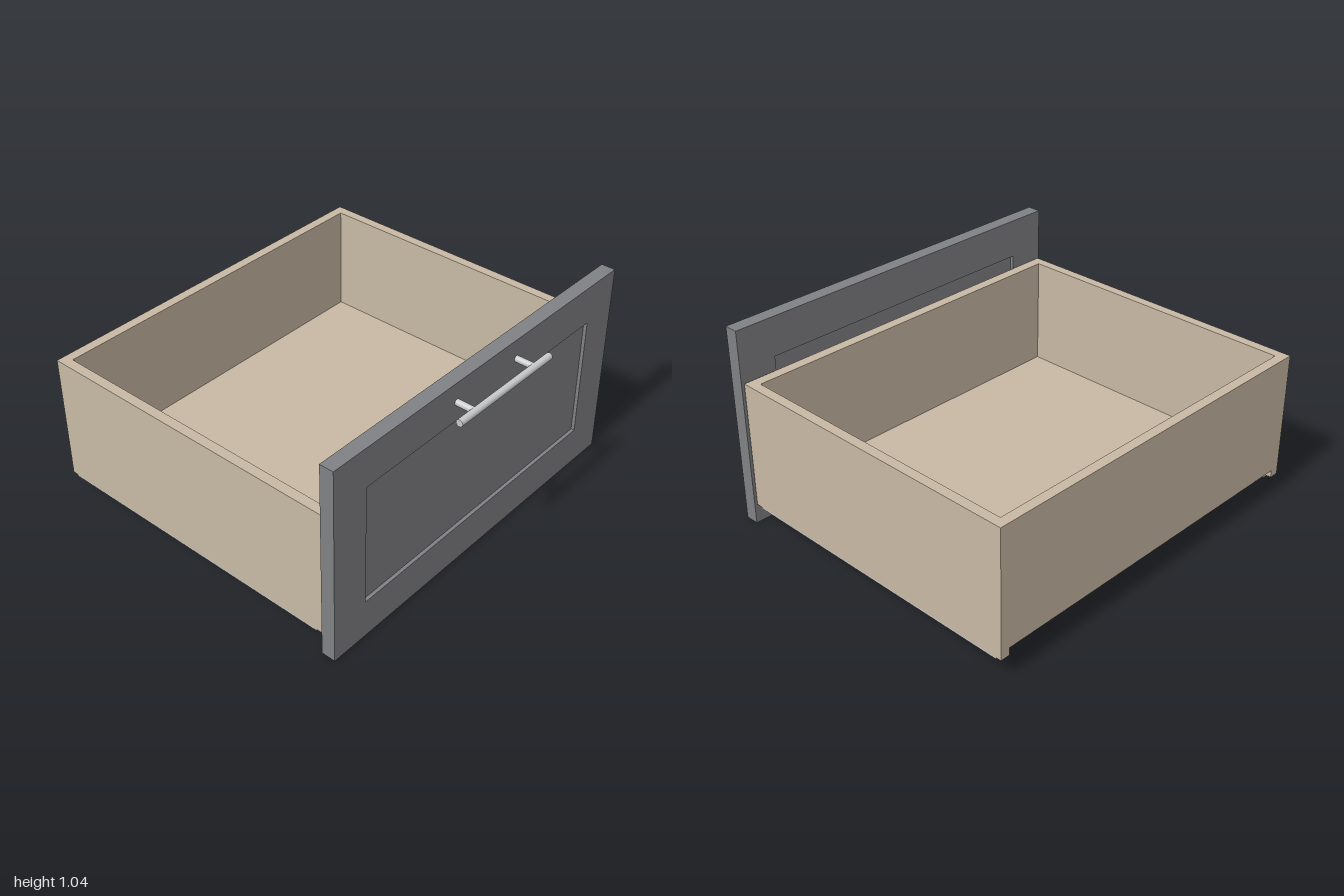
import * as THREE from 'three';

const paint = new THREE.MeshStandardMaterial({ name: 'grey paint', color: 0x808184 });
const wood = new THREE.MeshStandardMaterial({ name: 'pale wood', color: 0xc8b9a4 });
const metal = new THREE.MeshStandardMaterial({ name: 'brushed metal', color: 0xc8cacb });

// Box given by its lowest and highest corners
function slab(name, material, [x0, y0, z0], [x1, y1, z1]) {
  const mesh = new THREE.Mesh(new THREE.BoxGeometry(x1 - x0, y1 - y0, z1 - z0), material);
  mesh.name = name;
  mesh.position.set((x0 + x1) / 2, (y0 + y1) / 2, (z0 + z1) / 2);
  return mesh;
}

function rod(name, radius, length) {
  const mesh = new THREE.Mesh(new THREE.CylinderGeometry(radius, radius, length, 32), metal);
  mesh.name = name;
  return mesh;
}

function rectangle(path, x, y0, y1) {
  path.moveTo(-x, y0).lineTo(x, y0).lineTo(x, y1).lineTo(-x, y1).closePath();
  return path;
}

// Shaker front: a frame around a centre panel recessed on both faces
function createFront() {
  const front = new THREE.Group();
  front.name = 'drawerFront';
  const outline = rectangle(new THREE.Shape(), 1, 0, 1.045);
  outline.holes.push(rectangle(new THREE.Path(), 0.8, 0.203, 0.842));
  const frame = new THREE.Mesh(
    new THREE.ExtrudeGeometry(outline, { depth: 0.073, bevelEnabled: false }), paint);
  frame.name = 'frontFrame';
  frame.position.z = 0.731;
  front.add(frame, slab('centrePanel', paint, [-0.8, 0.203, 0.75], [0.8, 0.842, 0.786]));
  return front;
}

// Bar handle on two posts
function createHandle() {
  const handle = new THREE.Group();
  handle.name = 'handle';
  const bar = rod('handleBar', 0.018, 0.654);
  bar.rotation.z = Math.PI / 2;
  bar.position.set(0, 0.942, 0.902);
  handle.add(bar);
  for (const x of [-0.215, 0.215]) {
    const post = rod('handlePost', 0.016, 0.1);
    post.rotation.x = Math.PI / 2;
    post.position.set(x, 0.942, 0.852);
    handle.add(post);
  }
  return handle;
}

// Open box whose sides reach below the floor, with runners under them
function createBox() {
  const box = new THREE.Group();
  box.name = 'drawerBox';
  const outer = 0.988, inner = 0.937, back = -0.92, front = 0.725, top = 0.772, under = 0.145;
  box.add(
    slab('backBoard', wood, [-inner, under, back], [inner, top, -0.869]),
    slab('frontBoard', wood, [-inner, under, 0.67], [inner, top, front]),
    slab('floor', wood, [-inner, under, -0.869], [inner, 0.2, 0.67]));
  for (const side of [-1, 1]) {
    const span = (a, b) => (side > 0 ? [a, b] : [-b, -a]);
    const add = (name, material, a, b, y0, y1, z0, z1) => {
      const [x0, x1] = span(a, b);
      box.add(slab(name, material, [x0, y0, z0], [x1, y1, z1]));
    };
    add('sideBoard', wood, inner, outer, 0.106, top, back, front);
    add('runnerBase', metal, 0.925, outer, 0.098, 0.106, -0.89, 0.69);
    add('runnerFlange', metal, 0.925, inner, 0.106, under, -0.89, 0.69);
  }
  return box;
}

export function createModel() {
  const model = new THREE.Group();
  model.name = 'drawer';
  model.add(createFront(), createHandle(), createBox());
  return model;
}
